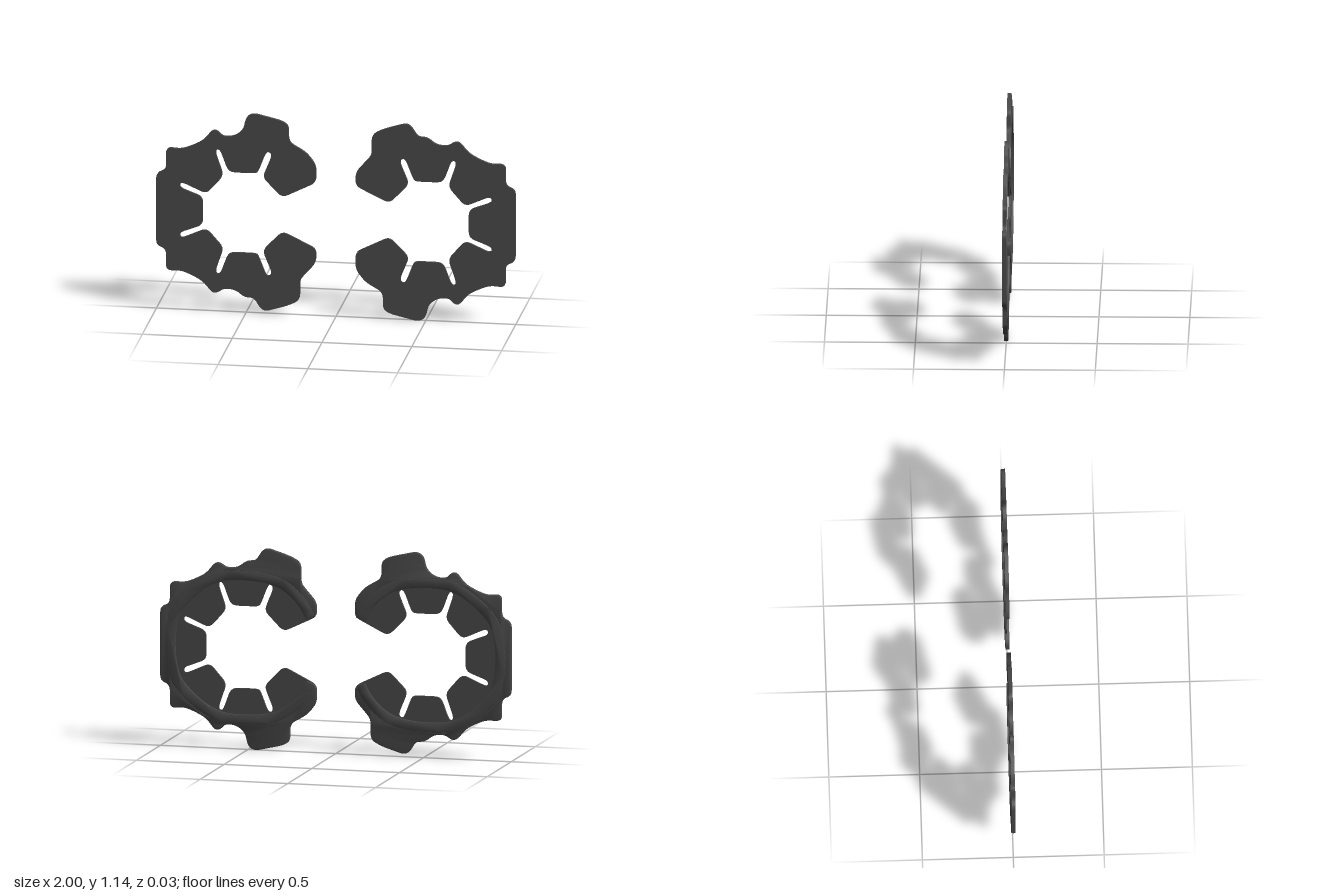
import * as THREE from 'three';
import { toCreasedNormals } from 'three/addons/utils/BufferGeometryUtils.js';

const MID = 0.573; // height of the horizontal symmetry line

// Outer edge of one half, from the upper end round the side to the lower end
const outer = [
  [-0.11, 0.765], [-0.11, 0.865], [-0.165, 0.935], [-0.262, 0.99], [-0.262, 1.085], [-0.3, 1.11],
  [-0.46, 1.147], [-0.5, 1.125], [-0.515, 1.05], [-0.565, 1.01], [-0.63, 1.005], [-0.66, 1.04],
  [-0.69, 1.04], [-0.735, 0.98], [-0.79, 0.95], [-0.86, 0.922], [-0.945, 0.93], [-0.945, 0.8], [-1, 0.78],
  [-1, 0.365], [-0.945, 0.347], [-0.945, 0.222], [-0.86, 0.226], [-0.79, 0.197], [-0.735, 0.165],
  [-0.69, 0.107], [-0.66, 0.107], [-0.62, 0.135], [-0.555, 0.127], [-0.51, 0.088], [-0.455, 0.088],
  [-0.425, 0.035], [-0.395, 0.012], [-0.265, 0.052], [-0.2, 0.085], [-0.2, 0.2], [-0.175, 0.232],
  [-0.11, 0.305], [-0.11, 0.385],
];

// Teeth and slots from the side tooth up to the end tooth, y measured from MID
const teeth = [
  [-0.74, 0.08], [-0.872, 0.13], [-0.862, 0.163], [-0.72, 0.1], [-0.625, 0.208], [-0.671, 0.342],
  [-0.66, 0.36], [-0.642, 0.352], [-0.604, 0.248], [-0.58, 0.23], [-0.443, 0.23], [-0.43, 0.245],
  [-0.393, 0.342], [-0.377, 0.36], [-0.354, 0.342], [-0.408, 0.21], [-0.298, 0.098],
];

// Recess edge behind the teeth, offsets from the centre of the half
const CX = -0.51;
const recess = [
  [0.345, 0.169], [0.29, 0.26], [0.18, 0.345], [0, 0.375], [-0.16, 0.358], [-0.3, 0.265], [-0.385, 0.15],
];

const flip = ([x, y]) => [x, -y];

// Closed shape with softened corners
function roundedShape(pts, radius) {
  const p = pts.map(([x, y]) => new THREE.Vector2(x, y));
  const shape = new THREE.Shape();
  p.forEach((c, i) => {
    const a = p[(i + p.length - 1) % p.length];
    const b = p[(i + 1) % p.length];
    const toward = (q) => c.clone().lerp(q, Math.min(0.48, radius / c.distanceTo(q)));
    const s = toward(a), e = toward(b);
    if (i === 0) shape.moveTo(s.x, s.y);
    else shape.lineTo(s.x, s.y);
    shape.quadraticCurveTo(c.x, c.y, e.x, e.y);
  });
  shape.closePath();
  return shape;
}

// Smooth arc around the recess, running from the lower end to the upper end
function recessArc(scale) {
  const pts = [...recess.map(flip), ...[...recess].reverse()];
  const curve = new THREE.CatmullRomCurve3(
    pts.map(([x, y]) => new THREE.Vector3(CX + x * scale, MID + y * scale, 0)), false, 'centripetal');
  return curve.getPoints(48).map((v) => [v.x, v.y]);
}

// Slab between two depths, with an optional bevel
function slab(name, shape, back, front, bevel, material) {
  let geo = new THREE.ExtrudeGeometry(shape, {
    depth: front - back - 2 * bevel, curveSegments: 5, bevelEnabled: bevel > 0,
    bevelThickness: bevel, bevelSize: bevel, bevelOffset: -bevel - 0.0005, bevelSegments: 2,
  });
  geo.translate(0, 0, back + bevel);
  geo = toCreasedNormals(geo, 0.6);
  const mesh = new THREE.Mesh(geo, material);
  mesh.name = name;
  return mesh;
}

function createHalf(material) {
  const half = new THREE.Group();

  // Thin front plate with the slotted teeth
  const inner = [...teeth.map(flip).reverse(), ...teeth].map(([x, y]) => [x, y + MID]);
  half.add(slab('toothedPlate', roundedShape([...outer, ...inner], 0.033), -0.001, 0.0125, 0, material));

  // Thicker rim on the back, leaving the teeth recessed
  const arc = recessArc(1);
  half.add(slab('backRim', roundedShape([...outer, ...arc], 0.033), -0.0105, 0.008, 0.003, material));

  // Slightly raised band beside the recess
  const band = [...arc, ...recessArc(1.14).reverse()];
  half.add(slab('raisedBand', roundedShape(band, 0.004), -0.0125, 0.006, 0.002, material));
  return half;
}

export function createModel() {
  const model = new THREE.Group();
  model.name = 'splitToothedRing';
  const material = new THREE.MeshStandardMaterial({ color: 0x484848 });

  // The second half is the first turned half way round
  const right = createHalf(material);
  right.name = 'rightHalf';
  const left = createHalf(material);
  left.name = 'leftHalf';
  left.rotation.z = Math.PI;
  left.position.y = 2 * 0.571;
  model.add(right, left);

  // Stand on the ground
  const box = new THREE.Box3().setFromObject(model);
  right.position.y -= box.min.y;
  left.position.y -= box.min.y;
  return model;
}
